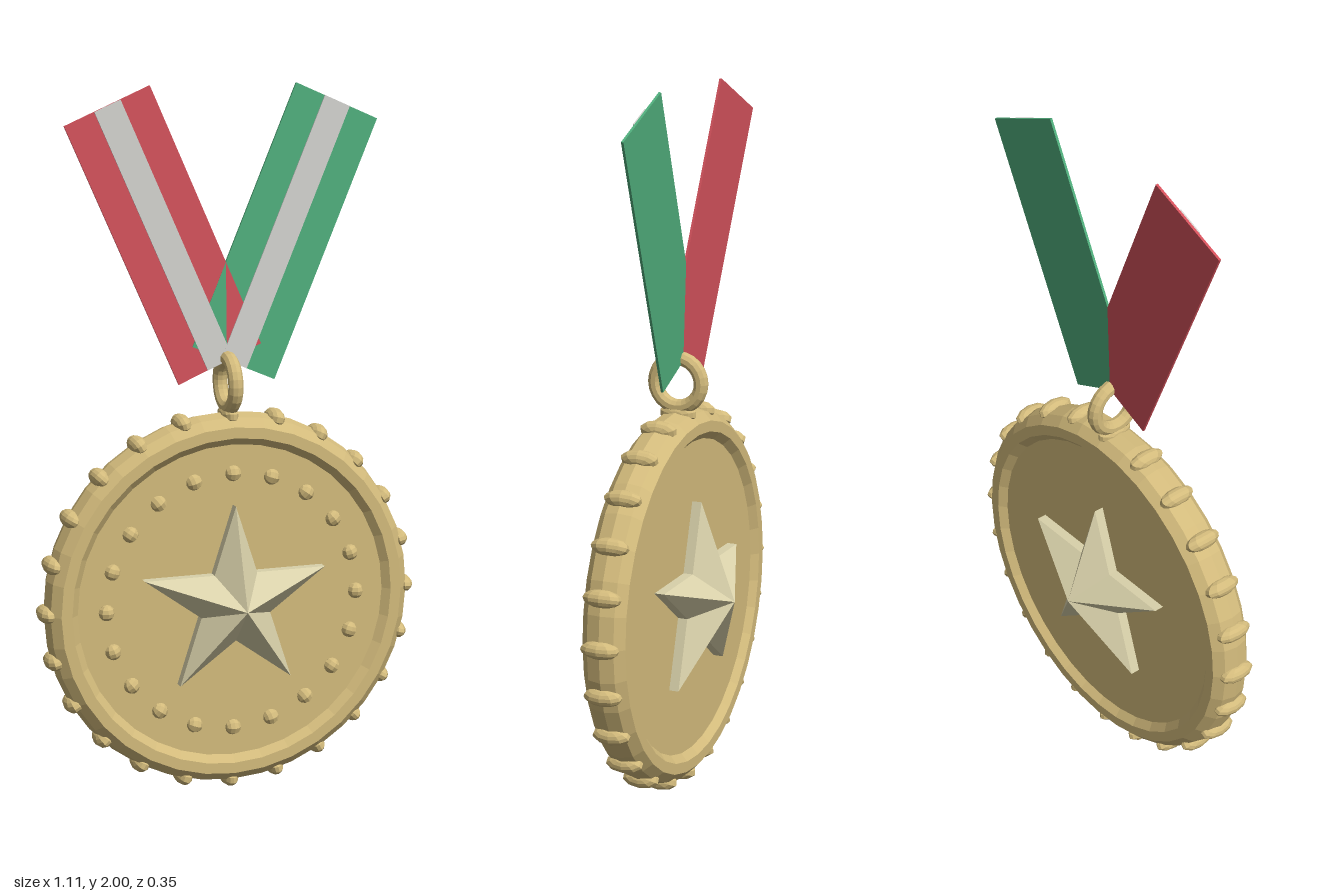
import * as THREE from 'three';

const CENTER_Y = 0.563;

function material(name, color, flat = false) {
  const m = new THREE.MeshStandardMaterial({ color, flatShading: flat });
  m.name = name;
  return m;
}

function add(parent, name, geometry, mat) {
  const mesh = new THREE.Mesh(geometry, mat);
  mesh.name = name;
  parent.add(mesh);
  return mesh;
}

// Five-pointed star: straight walls between two faceted pyramids
function starGeometry(outer, inner, halfDepth, tip) {
  const ring = [];
  for (let i = 0; i < 10; i++) {
    const a = Math.PI / 2 + (i * Math.PI) / 5;
    const r = i % 2 ? inner : outer;
    ring.push([r * Math.cos(a), r * Math.sin(a)]);
  }
  const pos = [];
  for (let i = 0; i < 10; i++) {
    const [ax, ay] = ring[i];
    const [bx, by] = ring[(i + 1) % 10];
    const d = halfDepth;
    pos.push(ax, ay, d, bx, by, d, 0, 0, tip);
    pos.push(bx, by, -d, ax, ay, -d, 0, 0, -tip);
    pos.push(ax, ay, -d, bx, by, -d, bx, by, d);
    pos.push(ax, ay, -d, bx, by, d, ax, ay, d);
  }
  const g = new THREE.BufferGeometry();
  g.setAttribute('position', new THREE.Float32BufferAttribute(pos, 3));
  g.computeVertexNormals();
  return g;
}

export function createModel() {
  const model = new THREE.Group();
  model.name = 'medal';
  const gold = material('gold', 0xd3bb7c, true);
  const paleGold = material('pale gold', 0xd9d1aa, true);
  const red = material('red', 0xd4525c);
  const green = material('green', 0x50ae7c);
  const white = material('white', 0xd2d2ce);

  const medal = new THREE.Group();
  medal.name = 'medallion';
  medal.position.y = CENTER_Y;
  model.add(medal);

  // Disc and rounded rim
  const disc = new THREE.CylinderGeometry(0.46, 0.46, 0.086, 48);
  disc.rotateX(Math.PI / 2);
  add(medal, 'disc', disc, gold);
  const rim = new THREE.TorusGeometry(0.488, 0.05, 10, 36);
  rim.scale(1, 1, 1.32);
  add(medal, 'rim', rim, gold);

  // Ridges across the outer edge
  const ridge = new THREE.SphereGeometry(1, 10, 8);
  ridge.scale(0.027, 0.025, 0.056);
  for (let i = 0; i < 24; i++) {
    const a = (i * Math.PI) / 12;
    const m = add(medal, 'rimBead', ridge, gold);
    m.position.set(0.53 * Math.cos(a), 0.53 * Math.sin(a), 0);
    m.rotation.z = a;
  }

  // Ring of studs on the front face
  const stud = new THREE.SphereGeometry(0.023, 8, 6);
  for (let i = 0; i < 20; i++) {
    const a = (i * Math.PI) / 10;
    const m = add(medal, 'faceStud', stud, gold);
    m.position.set(0.37 * Math.cos(a), 0.37 * Math.sin(a), 0.045);
    m.rotation.z = a;
  }

  add(medal, 'star', starGeometry(0.28, 0.107, 0.071, 0.173), paleGold);

  // Hanging loop
  const loop = new THREE.TorusGeometry(0.069, 0.021, 10, 24);
  loop.rotateY(Math.PI / 2);
  add(model, 'hangingLoop', loop, gold).position.y = 1.181;

  // Crossed ribbons, leaning back, each with a stripe on its front
  const width = 0.262, length = 0.782, thick = 0.007;
  for (const side of [-1, 1]) {
    const ribbon = new THREE.Group();
    ribbon.name = side < 0 ? 'rightRibbon' : 'leftRibbon';
    ribbon.position.set(side * 0.02, 1.234, -0.012);
    ribbon.rotation.order = 'ZXY';
    ribbon.rotation.set(-0.033, 0, -side * 0.409);
    const band = new THREE.BoxGeometry(width, length, thick);
    band.translate(0, length / 2, 0);
    add(ribbon, 'ribbonBand', band, side < 0 ? red : green);
    const stripe = new THREE.BoxGeometry(0.08, length, 0.004);
    stripe.translate(0, length / 2, thick / 2 + 0.002);
    add(ribbon, 'ribbonStripe', stripe, white);
    model.add(ribbon);
  }

  return model;
}
